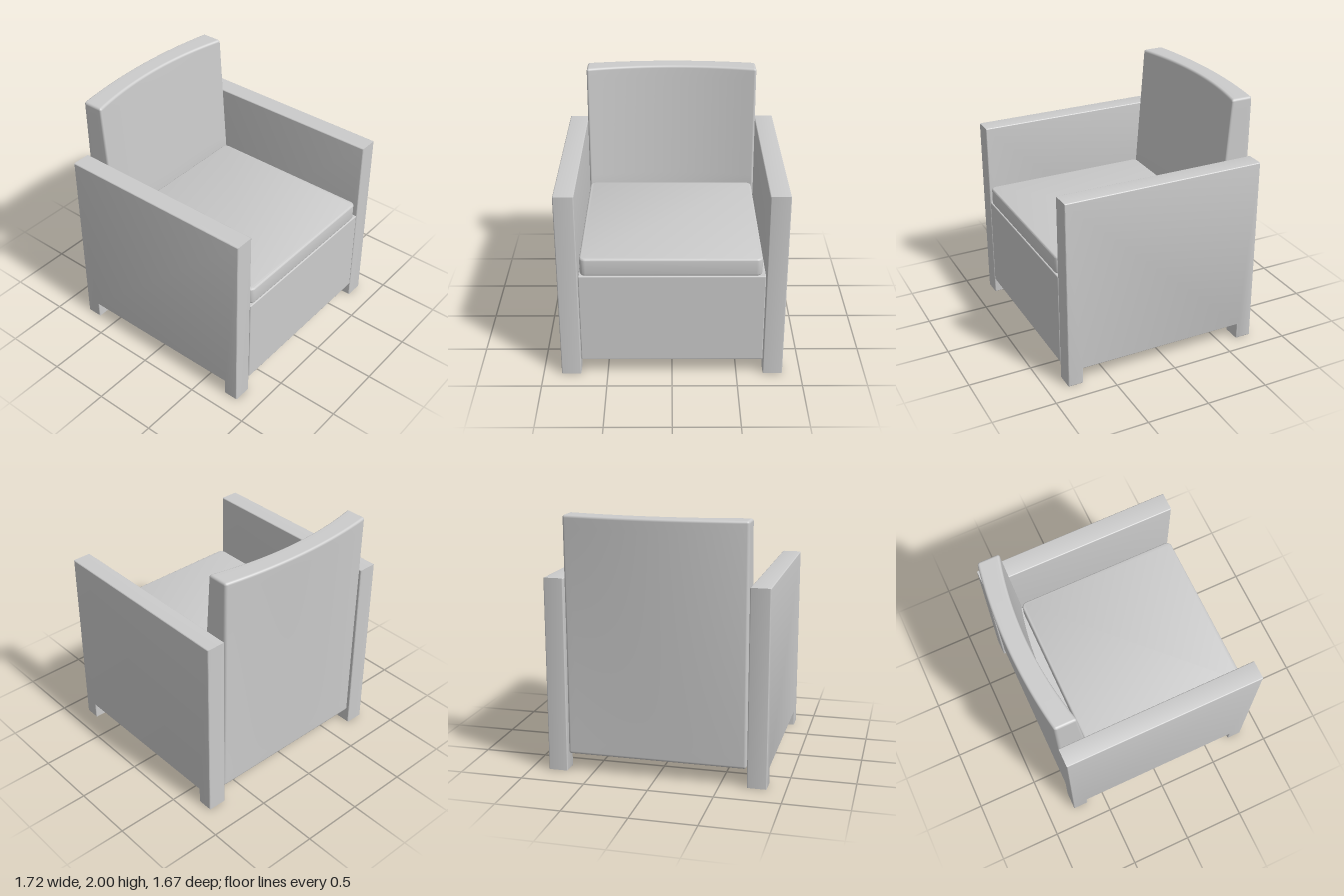
import * as THREE from 'three';
import { RoundedBoxGeometry } from 'three/addons/geometries/RoundedBoxGeometry.js';
import { mergeVertices, toCreasedNormals } from 'three/addons/utils/BufferGeometryUtils.js';

const material = new THREE.MeshStandardMaterial({ color: 0xcccccc });

function addMesh(parent, name, geometry, x = 0, y = 0, z = 0) {
  const mesh = new THREE.Mesh(geometry, material);
  mesh.name = name;
  mesh.position.set(x, y, z);
  parent.add(mesh);
  return mesh;
}

// Extrusion centred on its depth, with a small rounded bevel kept inside the outline size
function softExtrude(shape, depth, bevel) {
  const geometry = new THREE.ExtrudeGeometry(shape, {
    depth: depth - 2 * bevel, bevelEnabled: true, bevelSize: bevel, bevelThickness: bevel,
    bevelOffset: -bevel, bevelSegments: 4, curveSegments: 8,
  });
  geometry.translate(0, 0, -depth / 2 + bevel);
  return toCreasedNormals(geometry, 0.6);
}

// Side panel outline in (z, y): a slab with a notch that leaves two feet
function sidePanelGeometry() {
  const shape = new THREE.Shape([
    [-0.775, 0], [-0.65, 0], [-0.65, 0.13], [0.715, 0.13],
    [0.715, 0], [0.835, 0], [0.835, 1.525], [-0.775, 1.525],
  ].map(([z, y]) => new THREE.Vector2(z, y)));
  return softExtrude(shape, 0.153, 0.008).rotateY(-Math.PI / 2);
}

// Seat cushion: rounded rectangle in plan with soft edges
function cushionGeometry(width, height, depth, r) {
  const w = width / 2, d = depth / 2, s = new THREE.Shape();
  s.absarc(w - r, d - r, r, 0, Math.PI / 2);
  s.absarc(-w + r, d - r, r, Math.PI / 2, Math.PI);
  s.absarc(-w + r, -d + r, r, Math.PI, Math.PI * 1.5);
  s.absarc(w - r, -d + r, r, Math.PI * 1.5, Math.PI * 2);
  return softExtrude(s, height, 0.016).rotateX(-Math.PI / 2);
}

// Backrest: a subdivided rounded slab bent in plan and leaning back
function backrestGeometry() {
  const bottom = 0.14, top = 2, r = 0.02, k = 4;
  const half = [0.698, (top - bottom) / 2, 0.085], count = [36, 32, 12];
  const geometry = new THREE.BoxGeometry(2, 2, 2, ...count);
  geometry.deleteAttribute('uv');
  geometry.deleteAttribute('normal');
  const pos = geometry.attributes.position;

  // k segments are gathered in each rounded edge, the rest spread over the flat
  const spread = (u, h, n) => {
    const i = Math.round((u + 1) / 2 * n), flat = h - r;
    if (i < k) return -h + r * i / k;
    if (i > n - k) return h - r * (n - i) / k;
    return -flat + 2 * flat * (i - k) / (n - 2 * k);
  };
  const inner = new THREE.Vector3(), p = new THREE.Vector3();
  const limit = new THREE.Vector3(...half).subScalar(r);
  const lower = limit.clone().negate();

  for (let i = 0; i < pos.count; i++) {
    p.fromBufferAttribute(pos, i);
    p.set(spread(p.x, half[0], count[0]), spread(p.y, half[1], count[1]), spread(p.z, half[2], count[2]));
    inner.copy(p).clamp(lower, limit);
    p.sub(inner).setLength(r).add(inner);

    const y = p.y + (top + bottom) / 2;
    const t = (y - bottom) / (top - bottom);
    const bow = 1 - (p.x / half[0]) ** 2;
    const back = -0.762 - 0.013 * t - 0.062 * bow * Math.pow(t, 1.15);
    const seatBlend = Math.min(1, t / 0.45);
    const front = THREE.MathUtils.lerp(-0.65, -0.46 - 0.14 * t, seatBlend) - 0.088 * bow * seatBlend;
    pos.setXYZ(i, p.x, y, THREE.MathUtils.lerp(back, front, (p.z + half[2]) / (2 * half[2])));
  }
  const smooth = mergeVertices(geometry, 1e-5);
  smooth.computeVertexNormals();
  return smooth;
}

export function createModel() {
  const armchair = new THREE.Group();
  armchair.name = 'armchair';

  // Side panels with feet
  const side = sidePanelGeometry();
  addMesh(armchair, 'leftArm', side, 0.783);
  addMesh(armchair, 'rightArm', side, -0.783);

  // Seat base between the arms
  addMesh(armchair, 'seatBase', new RoundedBoxGeometry(1.402, 0.74, 1.495, 3, 0.008), 0, 0.5, 0.0875);

  // Loose seat cushion
  addMesh(armchair, 'seatCushion', cushionGeometry(1.365, 0.143, 1.36, 0.045), -0.007, 0.9425, 0.152);

  // Curved backrest
  addMesh(armchair, 'backrest', backrestGeometry());

  return armchair;
}
